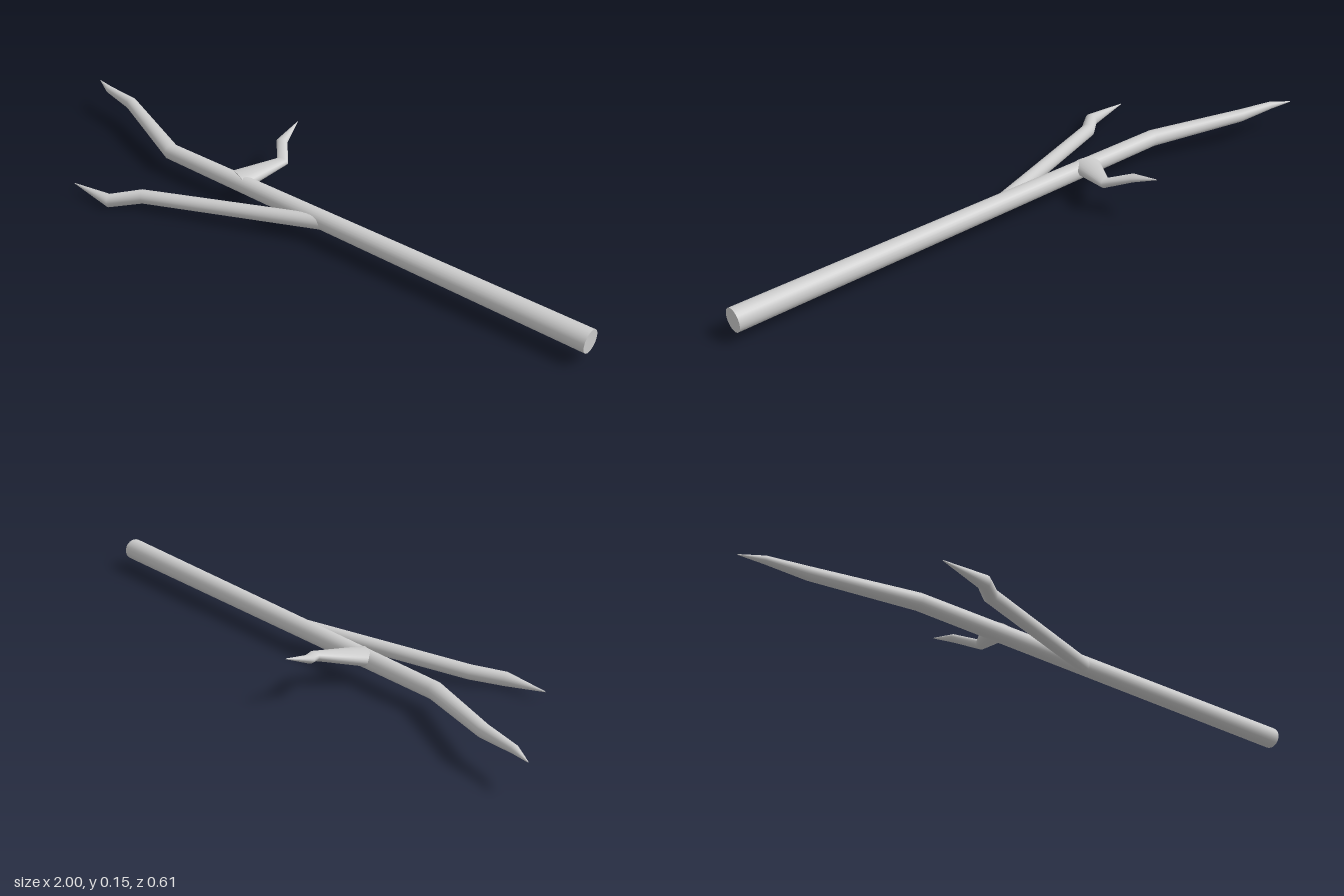
import * as THREE from 'three';

const SIDES = 24;
const material = new THREE.MeshStandardMaterial({ color: 0xcccccc });

// Tapering limb through rings of [x, y, z, radius, optional vertical radius], with a flat cap at the start
function limb(name, rings) {
  const centres = rings.map(([x, y, z]) => new THREE.Vector3(x, y, z));
  const up = new THREE.Vector3(0, 1, 0);
  const positions = [];
  const index = [];

  const addRing = (i) => {
    const c = centres[i];
    const [, , , r, rv = r] = rings[i];
    // Mitred direction: the average of the segments before and after
    const t = new THREE.Vector3();
    if (i > 0) t.add(c.clone().sub(centres[i - 1]).normalize());
    if (i < centres.length - 1) t.add(centres[i + 1].clone().sub(c).normalize());
    t.normalize();
    const side = t.clone().cross(up).normalize();
    const lift = side.clone().cross(t);
    for (let j = 0; j < SIDES; j++) {
      const a = (j / SIDES) * Math.PI * 2;
      const p = c.clone().addScaledVector(side, r * Math.cos(a)).addScaledVector(lift, rv * Math.sin(a));
      positions.push(p.x, p.y, p.z);
    }
  };

  // Side wall
  rings.forEach((_, i) => addRing(i));
  for (let i = 0; i < rings.length - 1; i++) {
    for (let j = 0; j < SIDES; j++) {
      const a = i * SIDES + j;
      const b = i * SIDES + ((j + 1) % SIDES);
      index.push(a, a + SIDES, b, b, a + SIDES, b + SIDES);
    }
  }

  // Cut end, with its own vertices for a sharp rim
  const first = rings.length * SIDES;
  addRing(0);
  positions.push(...centres[0].toArray());
  for (let j = 0; j < SIDES; j++) index.push(first + SIDES, first + j, first + ((j + 1) % SIDES));

  const geometry = new THREE.BufferGeometry();
  geometry.setAttribute('position', new THREE.Float32BufferAttribute(positions, 3));
  geometry.setIndex(index);
  geometry.computeVertexNormals();
  const mesh = new THREE.Mesh(geometry, material);
  mesh.name = name;
  return mesh;
}

export function createModel() {
  const group = new THREE.Group();
  group.name = 'branch';
  group.add(
    // Long main stem, bending and tapering to a point
    limb('mainStem', [
      [0.998, 0.068, -0.082, 0.035],
      [-0.51, 0.07, 0.007, 0.026],
      [-0.805, 0.097, -0.086, 0.02],
      [-0.93, 0.1, -0.097, 0.012],
      [-1, 0.101, -0.118, 0.001],
    ]),
    // Forward fork, starting inside the stem
    limb('sideBranch', [
      [0.12, 0.067, -0.028, 0.023],
      [-0.418, 0.037, 0.215, 0.022],
      [-0.492, 0.023, 0.287, 0.021],
      [-0.635, 0.032, 0.303, 0.001],
    ]),
    // Small crooked twig with a flared base
    limb('twig', [
      [-0.225, 0.075, -0.01, 0.048, 0.026],
      [-0.179, 0.098, -0.158, 0.02, 0.014],
      [-0.235, 0.123, -0.216, 0.018, 0.012],
      [-0.25, 0.152, -0.304, 0.001],
    ]),
  );
  return group;
}
